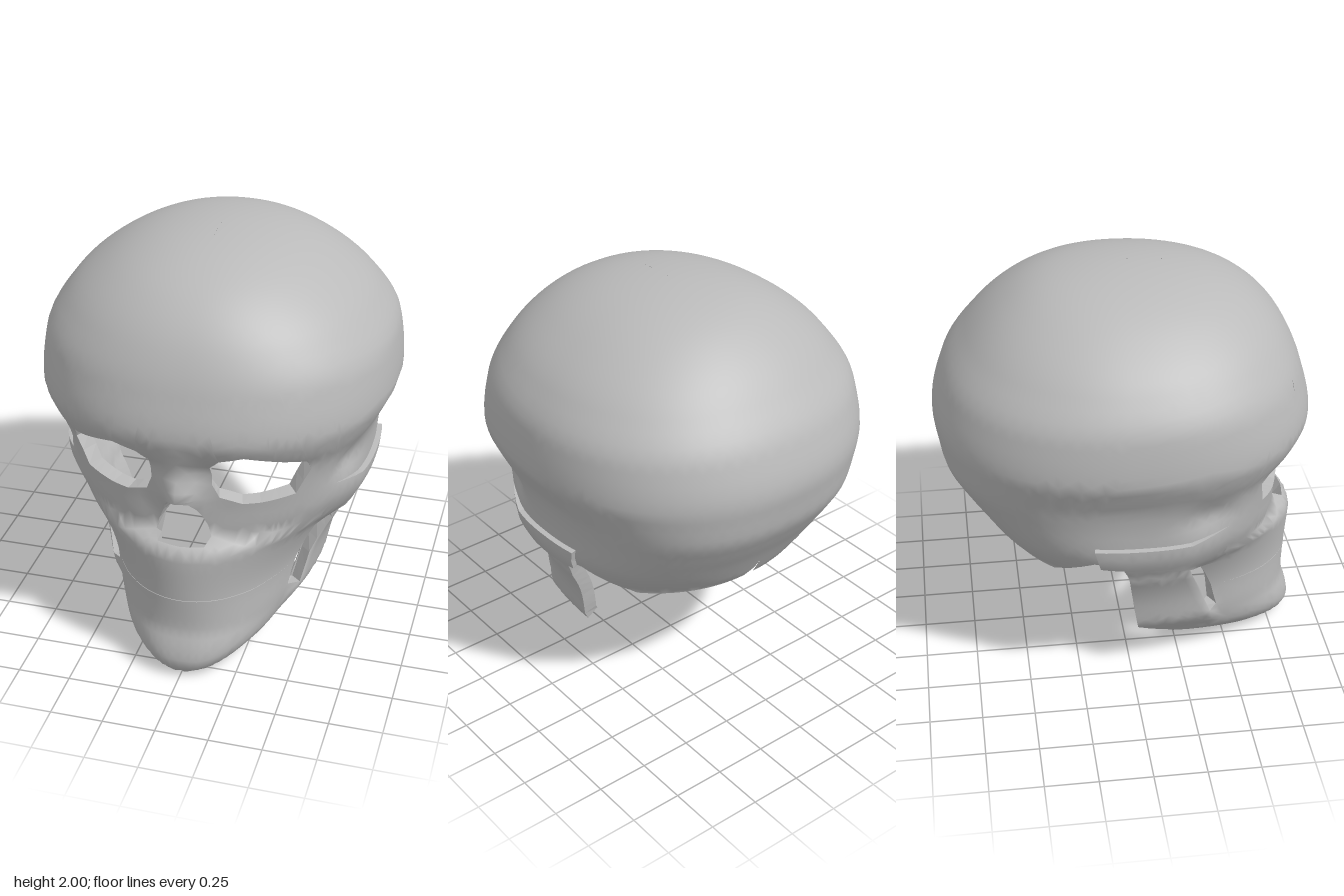
import * as THREE from 'three';

const PI = Math.PI, TOP = 2.5;
const clamp = (v) => Math.min(1, Math.max(0, v));

// Cross-sections: level, half width, front depth, back depth, roundness, nose ridge
const ROWS = [
  [0, 0.2, 0.8, 0.58, 2.4, 0],
  [0.03, 0.26, 0.845, 0.58, 2.5, 0],
  [0.1, 0.35, 0.87, 0.58, 2.5, 0],
  [0.16, 0.41, 0.86, 0.58, 2.4, 0],
  [0.27, 0.465, 0.83, 0.58, 2.2, 0],
  [0.47, 0.51, 0.84, 0.58, 2, 0],
  [0.66, 0.6, 0.85, 0.585, 1.95, 0],
  [0.71, 0.645, 0.82, 0.62, 2.05, 0],
  [0.76, 0.685, 0.745, 0.65, 2.2, 0],
  [0.86, 0.725, 0.745, 0.71, 2.3, 0.05],
  [0.99, 0.735, 0.755, 0.795, 2.4, 0.13],
  [1.1, 0.755, 0.77, 0.855, 2.45, 0.08],
  [1.2, 0.8, 0.845, 0.875, 2.35, 0.02],
  [1.3, 0.84, 0.89, 0.89, 2.25, 0],
  [1.5, 0.82, 0.845, 0.84, 2.25, 0],
  [1.7, 0.72, 0.765, 0.72, 2.2, 0],
  [1.95, 0.53, 0.61, 0.55, 2.15, 0],
  [2.2, 0.31, 0.38, 0.35, 2.1, 0],
  [TOP, 0, 0, 0, 2, 0],
];
// Level to height: equal up to the forehead, then easing into the crown
const height = (t) => (t < 1.5 ? t : 2 - 0.5 * Math.pow((TOP - t) / (TOP - 1.5), 2));

// Smooth blend between cross-sections, without overshoot
function row(t) {
  let i = 0;
  while (i < ROWS.length - 2 && ROWS[i + 1][0] < t) i++;
  const secant = (m, j) => {
    const s = Math.min(ROWS.length - 2, Math.max(0, m));
    return (ROWS[s + 1][j] - ROWS[s][j]) / (ROWS[s + 1][0] - ROWS[s][0]);
  };
  const slope = (m, j) => {
    const p = secant(m - 1, j), q = secant(m, j);
    return p * q > 0 ? (2 * p * q) / (p + q) : 0;
  };
  const a = ROWS[i], b = ROWS[i + 1], h = b[0] - a[0], k = clamp((t - a[0]) / h);
  return a.map((v, j) => v + (b[j] - v) * k * k * (3 - 2 * k)
    + h * k * (1 - k) * (slope(i, j) * (1 - k) - slope(i + 1, j) * k));
}

// Skull surface: a runs from the front (0) round the left side to the back (PI)
function surface(a, t) {
  const [, w, front, back, n, nose] = row(t);
  const c = Math.cos(a), y = height(t);
  let x = w * Math.pow(Math.max(0, Math.sin(a)), 2 / n);
  let z = (c > 0 ? front : -back) * Math.pow(Math.abs(c), 2 / n);
  // jaw branch stands outside the tooth row
  x += 0.045 * clamp((0.53 - 0.35 * y - z) / 0.04) * clamp((y - 0.18) / 0.12) * clamp((0.75 - y) / 0.12);
  // hollow temple
  x *= 1 - 0.05 * Math.exp(-(((z - 0.34) / 0.13) ** 2) - ((y - 1.02) / 0.08) ** 2);
  if (c > 0) z += nose * Math.exp(-((x / 0.09) ** 2));
  return new THREE.Vector3(x, y, z);
}

function surfaceNormal(a, t) {
  if (t > TOP - 1e-5) return new THREE.Vector3(0, 1, 0);
  const e = 0.02, along = (a0, t0, a1, t1) => surface(a1, t1).sub(surface(a0, t0));
  const n = along(Math.max(0, a - e), t, Math.min(PI, a + e), t)
    .cross(along(a, Math.max(0, t - e), a, Math.min(TOP, t + e)));
  if (a < 1e-5 || a > PI - 1e-5) n.x = 0;
  return n.normalize();
}

// Surface coordinates from a front position (x, y) or a side position (z, y)
function fx(x, y) {
  const [, w, , , n] = row(y);
  return new THREE.Vector2(Math.asin(Math.min(1, Math.pow(x / w, n / 2))), y);
}
function fz(z, y) {
  const [, , front, back, n] = row(y);
  const k = Math.acos(Math.min(1, Math.pow(Math.abs(z) / (z > 0 ? front : back), n / 2)));
  return new THREE.Vector2(z > 0 ? k : PI - k, y);
}
const at = (a, t) => new THREE.Vector2(a, t);

// Triangulate an outline with holes and halve long edges
function triangulate(outline, holes, maxEdge) {
  const pts = [outline, ...holes].flat(), mids = new Map(), out = [];
  const stack = THREE.ShapeUtils.triangulateShape(outline.slice(), holes.map((h) => h.slice())).map(([i, j, k]) => {
    const area = pts[j].clone().sub(pts[i]).cross(pts[k].clone().sub(pts[i]));
    return area < 0 ? [i, k, j] : [i, j, k];
  });
  while (stack.length) {
    const tri = stack.pop();
    let best = 0, len = -1;
    for (let e = 0; e < 3; e++) {
      const d = pts[tri[e]].distanceTo(pts[tri[(e + 1) % 3]]);
      if (d > len) { len = d; best = e; }
    }
    if (len <= maxEdge) { out.push(tri); continue; }
    const i = tri[best], j = tri[(best + 1) % 3], k = tri[(best + 2) % 3];
    const key = Math.min(i, j) + '_' + Math.max(i, j);
    if (!mids.has(key)) mids.set(key, pts.push(pts[i].clone().add(pts[j]).multiplyScalar(0.5)) - 1);
    const m = mids.get(key);
    stack.push([i, m, k], [m, j, k]);
  }
  return { pts, tris: out };
}

// Mirrored bone shell: outer face, inner face and edge walls
function shell(outline, holes, maxEdge, lift, depth) {
  const { pts, tris } = triangulate(outline, holes, maxEdge);
  const base = pts.map((p) => surface(p.x, p.y));
  const normals = pts.map((p) => surfaceNormal(p.x, p.y));
  const outer = base.map((p, i) => p.clone().addScaledVector(normals[i], lift(p)));
  const inner = base.map((p, i) => {
    const q = p.clone().addScaledVector(normals[i], -depth);
    q.x = Math.max(0, q.x);
    return q;
  });
  const flipped = normals.map((n) => n.clone().negate());

  const pos = [], nor = [];
  const add = (vs, ns) => {
    for (const s of [1, -1]) {
      for (const i of s > 0 ? [0, 1, 2] : [0, 2, 1]) {
        pos.push(s * vs[i].x, vs[i].y, vs[i].z);
        nor.push(s * ns[i].x, ns[i].y, ns[i].z);
      }
    }
  };
  const edges = new Map();
  for (const [i, j, k] of tris) {
    add([outer[i], outer[j], outer[k]], [normals[i], normals[j], normals[k]]);
    add([inner[i], inner[k], inner[j]], [flipped[i], flipped[k], flipped[j]]);
    for (const [u, v] of [[i, j], [j, k], [k, i]]) {
      if (!edges.delete(v + '_' + u)) edges.set(u + '_' + v, [u, v]);
    }
  }
  const seams = [(p) => p.x < 1e-5, (p) => p.x > PI - 1e-5, (p) => p.y > TOP - 1e-5];
  for (const [u, v] of edges.values()) {
    if (seams.some((f) => f(pts[u]) && f(pts[v]))) continue;
    for (const vs of [[outer[v], outer[u], inner[u]], [outer[v], inner[u], inner[v]]]) {
      const n = new THREE.Triangle(...vs).getNormal(new THREE.Vector3());
      add(vs, [n, n, n]);
    }
  }
  const result = new THREE.BufferGeometry();
  result.setAttribute('position', new THREE.Float32BufferAttribute(pos, 3));
  result.setAttribute('normal', new THREE.Float32BufferAttribute(nor, 3));
  return result;
}

export function createModel() {
  const bone = new THREE.MeshStandardMaterial({ color: 0xbababa });
  bone.name = 'bone grey';
  const group = new THREE.Group();
  group.name = 'skull';
  const part = (name, geometry) => {
    const mesh = new THREE.Mesh(geometry, bone);
    mesh.name = name;
    group.add(mesh);
  };

  // Half outline: midline with nose opening and mouth slit, then jaw and skull base
  const outline = [
    at(0, TOP), at(0, 0.985), fx(0.05, 0.965), fx(0.09, 0.87), fx(0.13, 0.75), fx(0.11, 0.72), at(0, 0.715),
    at(0, 0.433), fx(0.3, 0.435), fx(0.43, 0.447), fx(0.3, 0.432), at(0, 0.43),
    at(0, 0), fx(0.1, 0.005), fz(0.64, 0.025), fz(0.22, 0.16), fz(0.03, 0.27), fz(0.001, 0.45),
    fz(-0.08, 0.78), fz(-0.2, 0.8), fz(-0.37, 0.66), at(PI, 0.68), at(PI, TOP),
  ];
  const eye = [[0.14, 1.15], [0.14, 1.04], [0.17, 0.965], [0.27, 0.93], [0.35, 0.935], [0.49, 0.96],
    [0.555, 1.09], [0.54, 1.155], [0.42, 1.2], [0.3, 1.235], [0.19, 1.205]].map(([x, y]) => fx(x, y));
  const jawGap = [[0.425, 0.32], [0.385, 0.315], [0.335, 0.46], [0.285, 0.59], [0.255, 0.68],
    [0.295, 0.69], [0.345, 0.58], [0.39, 0.46]].map(([z, y]) => fz(z, y));
  part('craniumAndJaw', shell(outline, [eye, jawGap], 0.08, () => 0, 0.07));

  // Cheek arches, fading into the face at the front
  const arch = [[0.52, 0.8], [0.45, 0.93], [0.24, 0.895], [-0.2, 0.905], [-0.17, 0.8], [0.1, 0.765],
    [0.25, 0.715], [0.43, 0.63]].map(([z, y]) => fz(z, y));
  part('cheekArches', shell(arch, [], 0.08, (p) => 0.036 * clamp((0.5 - p.z) / 0.25) - 0.01, 0.03));

  return group;
}
